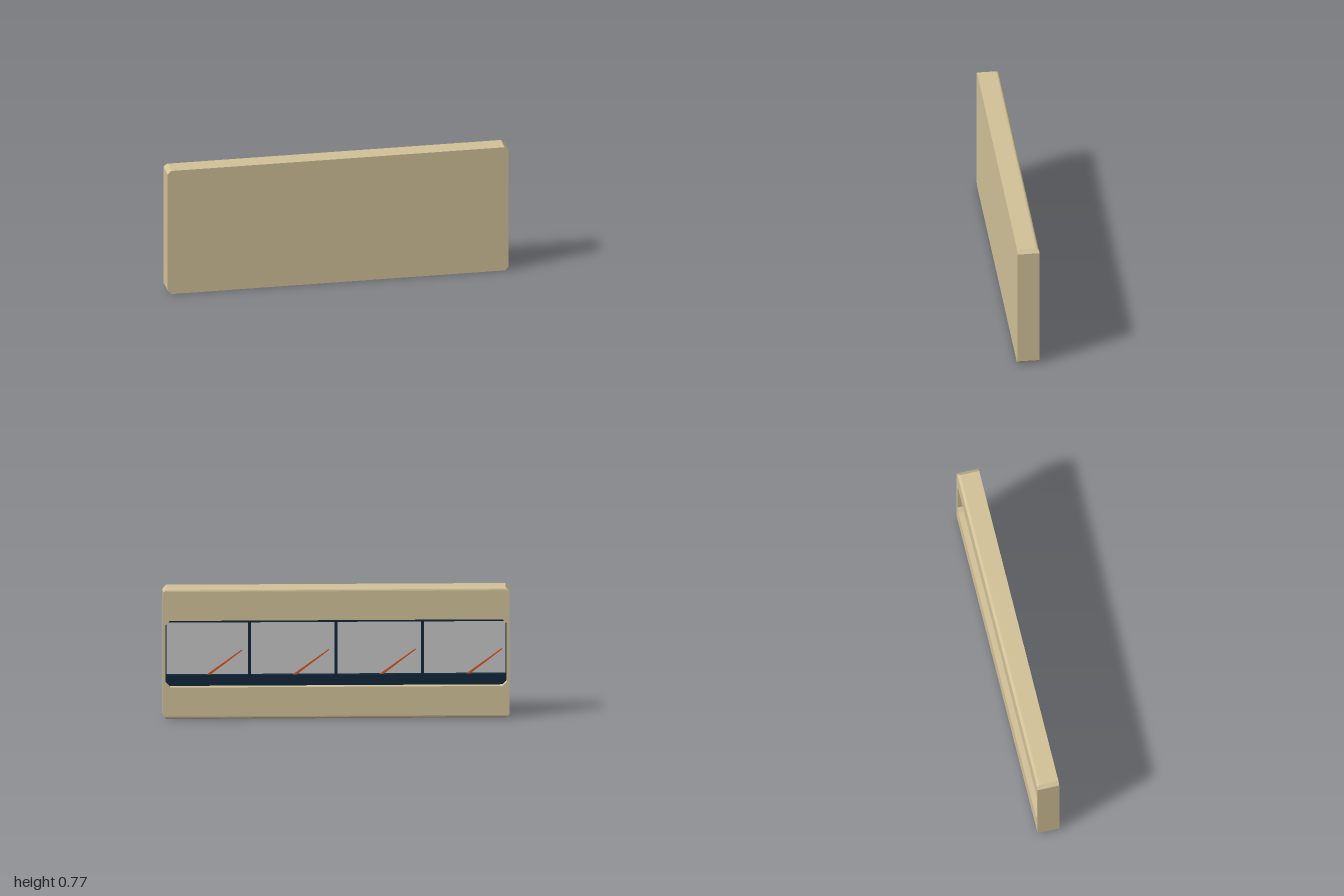
import * as THREE from 'three';

const material = (name, color) => {
  const m = new THREE.MeshStandardMaterial({ color });
  m.name = name;
  return m;
};

const MID = 0.384; // height of the panel centre

// Rectangle with cut corners, counter-clockwise seen from +z
function octagon(hx, hy, cx, cy, z) {
  return [
    [hx, -hy + cy], [hx, hy - cy], [hx - cx, hy], [-hx + cx, hy],
    [-hx, hy - cy], [-hx, -hy + cy], [-hx + cx, -hy], [hx - cx, -hy],
  ].map(([x, y]) => [x, y + MID, z]);
}

// Skin a list of eight-point rings, with a flat cap on the first
function skin(rings) {
  const p = [];
  const first = rings[0];
  for (let i = 1; i < 7; i++) p.push(...first[0], ...first[i], ...first[i + 1]);
  for (let r = 0; r < rings.length - 1; r++) {
    const a = rings[r], b = rings[r + 1];
    for (let i = 0; i < 8; i++) {
      const j = (i + 1) % 8;
      p.push(...a[i], ...b[i], ...b[j], ...a[i], ...b[j], ...a[j]);
    }
  }
  const g = new THREE.BufferGeometry();
  g.setAttribute('position', new THREE.Float32BufferAttribute(p, 3));
  g.computeVertexNormals();
  return g;
}

export function createModel() {
  const model = new THREE.Group();
  const tan = material('tan casing', 0xd2c299);
  const navy = material('dark navy frame', 0x10263a);
  const grey = material('pale grey dial', 0xc6c6c6);
  const orange = material('orange needle', 0xd8531f);

  const add = (name, geometry, mat, x = 0, y = 0, z = 0) => {
    const mesh = new THREE.Mesh(geometry, mat);
    mesh.name = name;
    mesh.position.set(x, y, z);
    model.add(mesh);
    return mesh;
  };
  const box = (name, mat, x0, x1, y0, y1, z0, z1) =>
    add(name, new THREE.BoxGeometry(x1 - x0, y1 - y0, z1 - z0), mat,
      (x0 + x1) / 2, (y0 + y1) / 2, (z0 + z1) / 2);

  // Casing: closed front, long back edges rounded, recessed window at the back
  const R = 0.018, C = 0.022;
  const rings = [octagon(1, MID, C, C, 0.064)];
  for (let i = 0; i <= 4; i++) {
    const t = (i / 4) * Math.PI / 2;
    const inset = R * (1 - Math.cos(t));
    rings.push(octagon(1, MID - inset, C - inset, C - inset, -0.064 + R - R * Math.sin(t)));
  }
  rings.push(octagon(0.985, 0.196, 0.025, 0.025, -0.064));
  rings.push(octagon(0.985, 0.196, 0.025, 0.025, 0.03));
  add('casing', skin(rings), tan);

  // Dark frame set back inside the window
  const zf = -0.014, zb = 0.03;
  box('bottomFrame', navy, -0.986, 0.986, 0.187, 0.25, zf, zb);
  box('topFrame', navy, -0.986, 0.986, 0.56, 0.581, zf, zb);
  for (const s of [-1, 1]) {
    box('sideFrame', navy, s * 0.982 - 0.004, s * 0.982 + 0.004, 0.187, 0.581, zf, zb);
  }
  for (const x of [-0.5, 0, 0.5]) {
    box('divider', navy, x - 0.008, x + 0.008, 0.2, 0.57, zf, zb);
  }

  // Four dials, each with a tapered needle rising from the bottom centre
  const needle = new THREE.ExtrudeGeometry(new THREE.Shape([
    new THREE.Vector2(0, -0.007), new THREE.Vector2(0.26, -0.003),
    new THREE.Vector2(0.26, 0.003), new THREE.Vector2(0, 0.007),
  ]), { depth: 0.006, bevelEnabled: false });
  for (const x of [-0.75, -0.25, 0.25, 0.75]) {
    box('dialFace', grey, x - 0.245, x + 0.245, 0.22, 0.575, 0.021, 0.028);
    const hand = add('needle', needle, orange, x, 0.24, 0);
    hand.rotation.z = Math.atan2(0.155, -0.209);
  }
  return model;
}
